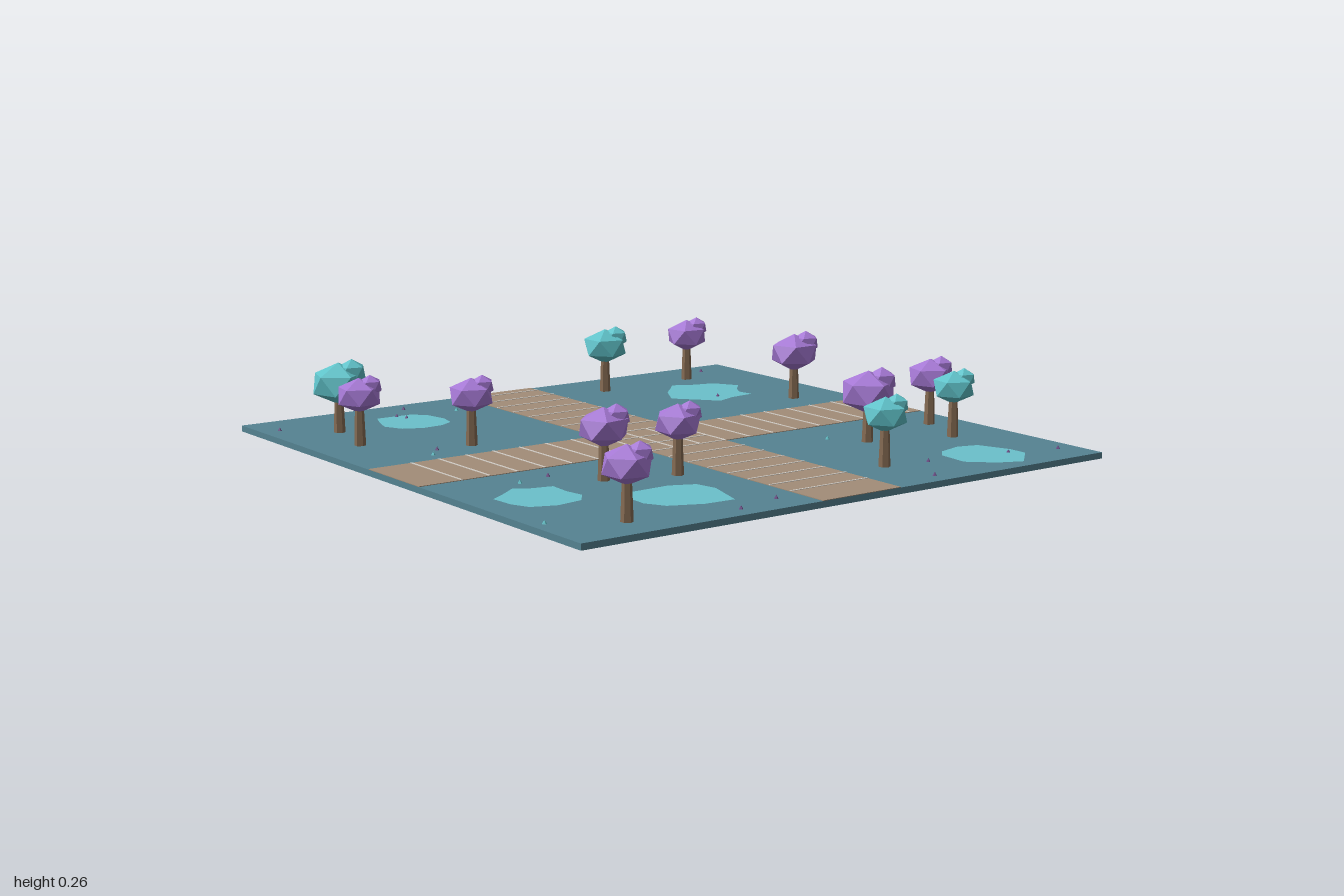
import * as THREE from 'three';

const material = (name, color) => {
  const m = new THREE.MeshStandardMaterial({ color, flatShading: true });
  m.name = name;
  return m;
};

export function createModel() {
  const root = new THREE.Group();
  root.name = 'parkCrossroads';
  const mats = {
    ground: material('ground teal', 0x558392),
    path: material('path tan', 0xa28d78),
    line: material('paving joint', 0xd3cdc6),
    pool: material('pale cyan patch', 0x6bc1cb),
    trunk: material('trunk brown', 0x846a52),
    purple: material('purple leaves', 0xa578d4),
    teal: material('teal leaves', 0x5fc2c9),
    bud: material('dark purple bud', 0x6c4a86),
  };
  const add = (parent, name, geo, mat, x = 0, y = 0, z = 0) => {
    const mesh = new THREE.Mesh(geo, mat);
    mesh.name = name;
    mesh.position.set(x, y, z);
    parent.add(mesh);
    return mesh;
  };
  const TOP = 0.02;

  // Ground slab
  add(root, 'ground', new THREE.BoxGeometry(2, TOP, 2), mats.ground, 0, TOP / 2, 0);

  // Crossing paths: one long strip and two side arms
  const plate = (name, w, d, h, mat, x, z) =>
    add(root, name, new THREE.BoxGeometry(w, h, d), mat, x, TOP + h / 2, z);
  plate('pathLong', 0.3, 2, 0.002, mats.path, 0, 0);
  for (const s of [-1, 1]) plate('pathArm', 0.85, 0.3, 0.002, mats.path, s * 0.575, 0);

  // Paving joints every 0.1 along both paths
  for (let i = -9; i <= 9; i++) {
    plate('jointAcrossArms', 0.007, 0.3, 0.0034, mats.line, i * 0.1 + 0.05, 0);
    plate('jointAcrossLong', 0.3, 0.007, 0.0036, mats.line, 0, i * 0.1 - 0.05);
  }

  // Irregular flat patches, outlines as [x, z]
  const patches = [
    [[-0.58, -0.83], [-0.45, -0.825], [-0.41, -0.78], [-0.395, -0.7], [-0.41, -0.635], [-0.46, -0.605],
      [-0.535, -0.6], [-0.6, -0.63], [-0.63, -0.695], [-0.61, -0.76]],
    [[0.595, -0.74], [0.66, -0.705], [0.74, -0.685], [0.79, -0.6], [0.745, -0.55], [0.715, -0.5], [0.725, -0.44],
      [0.63, -0.43], [0.555, -0.4], [0.505, -0.46], [0.44, -0.535], [0.5, -0.64], [0.545, -0.685]],
    [[-0.79, 0.335], [-0.745, 0.365], [-0.675, 0.38], [-0.68, 0.46], [-0.67, 0.525], [-0.71, 0.58],
      [-0.8, 0.595], [-0.88, 0.565], [-0.905, 0.505], [-0.91, 0.42], [-0.85, 0.38]],
    [[-0.53, 0.58], [-0.395, 0.575], [-0.315, 0.61], [-0.3, 0.685], [-0.345, 0.835], [-0.45, 0.83],
      [-0.555, 0.785], [-0.59, 0.72], [-0.585, 0.62]],
    [[0.685, 0.67], [0.755, 0.69], [0.795, 0.8], [0.795, 0.865], [0.7, 0.955], [0.62, 0.92],
      [0.545, 0.85], [0.555, 0.74], [0.595, 0.695]],
  ];
  for (const outline of patches) {
    const shape = new THREE.Shape(outline.map(([x, z]) => new THREE.Vector2(x, -z)));
    add(root, 'patch', new THREE.ShapeGeometry(shape).rotateX(-Math.PI / 2), mats.pool, 0, TOP + 0.0015, 0);
  }

  // Trees: trunk, main crown and a smaller crown lobe
  const trunkGeo = new THREE.CylinderGeometry(0.014, 0.019, 0.13, 6);
  const crownGeo = new THREE.IcosahedronGeometry(1, 0).rotateX(-Math.atan((1 + Math.sqrt(5)) / 2));
  const trees = [
    [-0.79, -0.71, 0.087, 'teal'], [-0.84, -0.485, 0.071, 'purple'], [-0.55, -0.275, 0.071, 'purple'],
    [0.34, -0.8, 0.077, 'teal'], [0.72, -0.82, 0.072, 'purple'], [0.8, -0.295, 0.083, 'purple'],
    [-0.505, 0.4, 0.078, 'purple'], [-0.28, 0.47, 0.072, 'purple'], [-0.755, 0.87, 0.074, 'purple'],
    [0.51, 0.435, 0.088, 'purple'], [0.87, 0.335, 0.073, 'purple'], [0.79, 0.535, 0.068, 'teal'],
    [0.305, 0.75, 0.07, 'teal'],
  ];
  trees.forEach(([x, z, r, leaf], i) => {
    const tree = new THREE.Group();
    tree.name = 'tree';
    tree.position.set(x, TOP, z);
    root.add(tree);
    add(tree, 'trunk', trunkGeo, mats.trunk, 0, 0.065, 0);
    const crown = add(tree, 'crown', crownGeo, mats[leaf], 0, 0.163, 0);
    crown.scale.set(r * 1.08, r * 0.8, r * 1.08);
    crown.rotation.y = i * 0.13;
    const lobe = add(tree, 'crownLobe', crownGeo, mats[leaf], r * 0.45, 0.163 + r * 0.42, r * 0.22);
    lobe.scale.set(r * 0.58, r * 0.5, r * 0.58);
    lobe.rotation.y = 0.4;
  });

  // Tiny buds scattered on the ground
  const budGeo = new THREE.ConeGeometry(0.007, 0.012, 5);
  const scatter = (mat, spots) => {
    for (const [x, z] of spots) add(root, 'bud', budGeo, mat, x, TOP + 0.006, z);
  };
  scatter(mats.bud, [
    [-0.94, -0.845], [-0.425, -0.92], [-0.495, -0.78], [-0.51, -0.82], [0.855, -0.91], [0.6, -0.475],
    [-0.68, -0.275], [-0.61, 0.255], [-0.24, 0.895], [-0.405, 0.94], [0.34, 0.94], [0.46, 0.78],
    [0.755, 0.83], [0.925, 0.88],
  ]);
  scatter(mats.teal, [[-0.285, -0.8], [-0.73, -0.215], [-0.73, 0.285], [-0.955, 0.755], [0.43, 0.33]]);

  return root;
}
